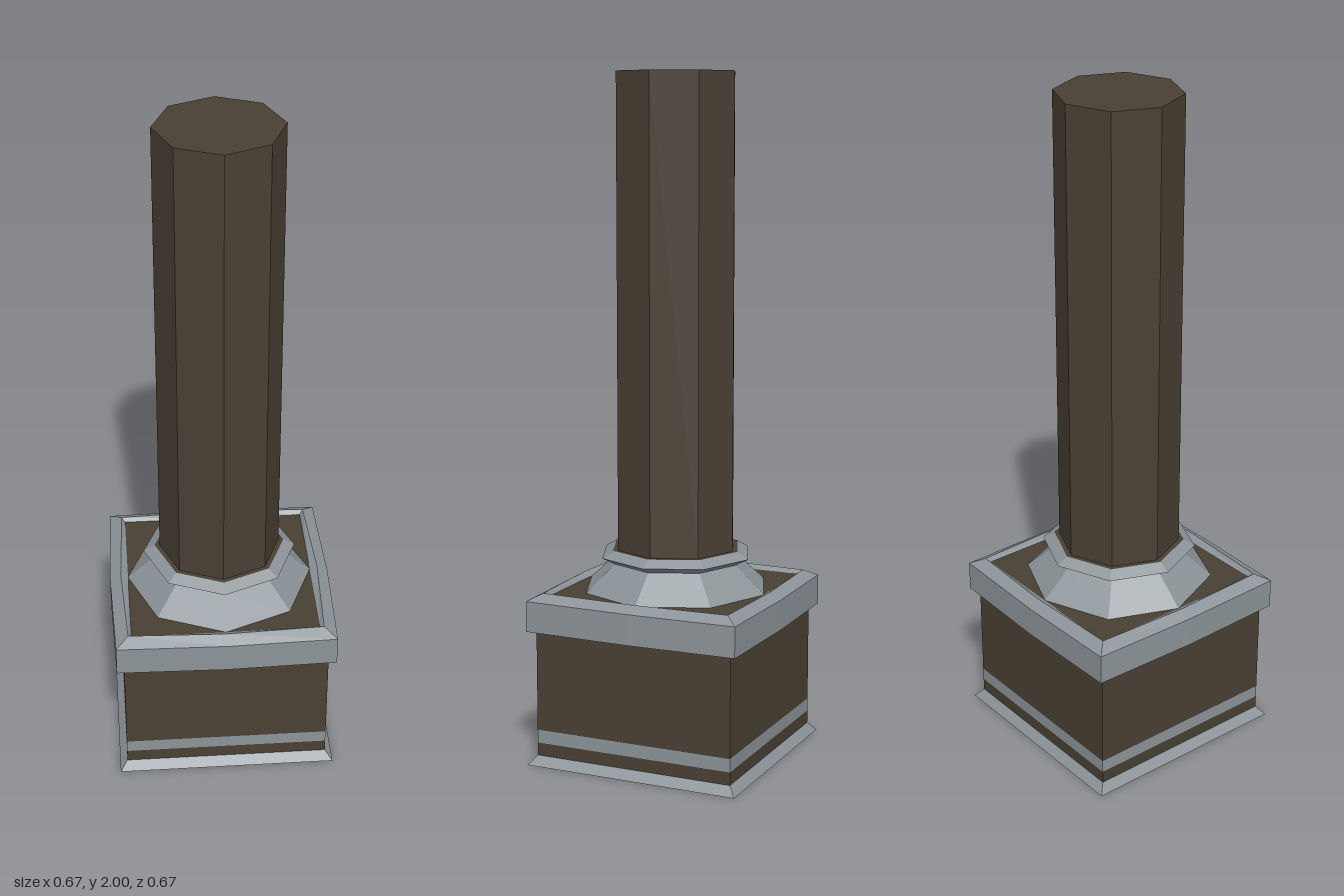
import * as THREE from 'three';

const brown = new THREE.MeshStandardMaterial({ color: 0x4a4034, flatShading: true });
const grey = new THREE.MeshStandardMaterial({ color: 0x8c9499, flatShading: true });

// Eight-point cross-sections: [height, distance on the axes, corner coordinate]
const octagon = (y, r) => [y, r, r * Math.SQRT1_2];
const square = (y, half, bulge = 0) => [y, half + bulge, half];
const centre = (y) => [y, 0, 0];

function ringPoint([y, mid, corner], i) {
  const a = (i % 8) * Math.PI / 4;
  const r = i % 2 ? corner * Math.SQRT2 : mid;
  return [r * Math.cos(a), y, r * Math.sin(a)];
}

// Skins consecutive cross-sections; a centre section closes an end
function loft(name, material, sections) {
  const pos = [];
  for (let j = 0; j + 1 < sections.length; j++) {
    const lower = sections[j], upper = sections[j + 1];
    for (let i = 0; i < 8; i++) {
      const a = ringPoint(lower, i), b = ringPoint(lower, i + 1);
      const c = ringPoint(upper, i), d = ringPoint(upper, i + 1);
      if (upper[1] > 0) pos.push(...a, ...c, ...d);
      if (lower[1] > 0) pos.push(...a, ...d, ...b);
    }
  }
  const geometry = new THREE.BufferGeometry();
  geometry.setAttribute('position', new THREE.Float32BufferAttribute(pos, 3));
  geometry.computeVertexNormals();
  const mesh = new THREE.Mesh(geometry, material);
  mesh.name = name;
  return mesh;
}

export function createModel() {
  const model = new THREE.Group();
  model.name = 'pillar';
  model.add(
    // Square pedestal
    loft('baseSkirt', grey, [centre(0), square(0, 0.327), square(0.027, 0.305)]),
    loft('lowerPlinth', brown, [square(0.027, 0.305), square(0.065, 0.305)]),
    loft('plinthBand', grey, [square(0.065, 0.305), square(0.104, 0.305)]),
    loft('plinth', brown, [square(0.104, 0.305), square(0.402, 0.305)]),
    // Rim, bowed outward at the middle of each side
    loft('rim', grey, [
      square(0.402, 0.305), square(0.402, 0.327, 0.008), square(0.492, 0.327, 0.008),
      square(0.512, 0.29, 0.012), square(0.5, 0.28),
    ]),
    loft('pedestalTop', brown, [square(0.5, 0.28), centre(0.5)]),
    // Octagonal collar and column
    loft('collar', grey, [
      octagon(0.5, 0.28), octagon(0.58, 0.192), octagon(0.6, 0.23), octagon(0.62, 0.196),
    ]),
    loft('shaft', brown, [
      octagon(0.62, 0.196), octagon(0.62, 0.181), octagon(2, 0.181), centre(2),
    ]),
  );
  return model;
}
